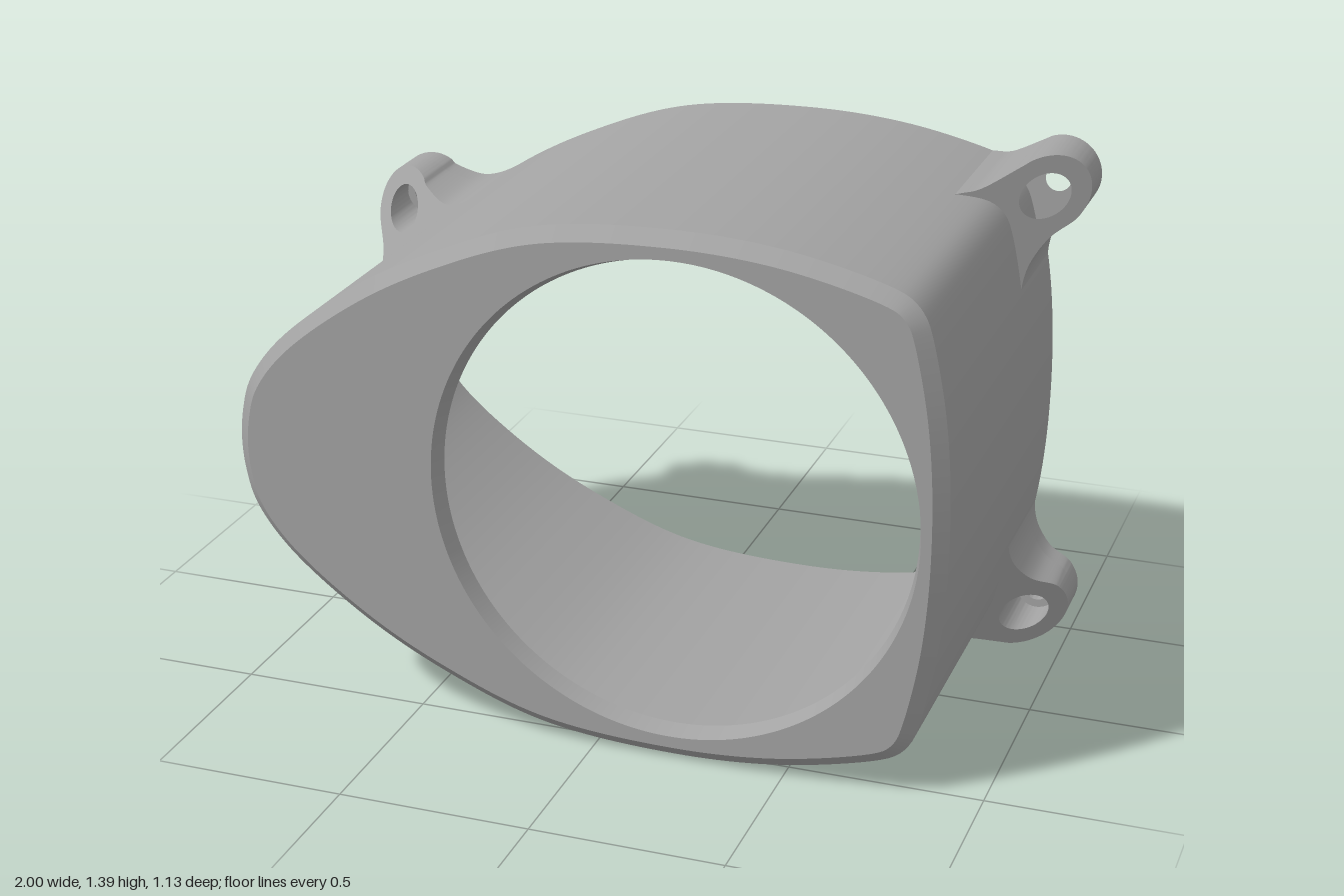
import * as THREE from 'three';
import { toCreasedNormals } from 'three/addons/utils/BufferGeometryUtils.js';

const YC = 0.698;            // height of the symmetry plane
const BACK = -0.565, FRONT = 0.565;
const CREASE = 0.6;
const v2 = (p) => new THREE.Vector2(p[0], p[1]);

// Upper half of the housing outline, y measured from the symmetry plane
const HALF = [
  [0.896, 0], [0.89, 0.18], [0.872, 0.34], [0.836, 0.51], [0.82, 0.553], [0.79, 0.59],
  [0.745, 0.614], [0.49, 0.676], [0.2, 0.696], [-0.15, 0.666], [-0.42, 0.569],
  [-0.64, 0.45], [-0.85, 0.285], [-0.935, 0.17], [-0.96, 0.085], [-0.968, 0],
];

function buildBody() {
  const mirrored = HALF.slice(1, -1).reverse().map(([x, y]) => [x, -y]);
  const curve = new THREE.CatmullRomCurve3(
    [...HALF, ...mirrored].map(([x, y]) => new THREE.Vector3(x, YC + y, 0)), true, 'centripetal');
  curve.arcLengthDivisions = 1000;
  const n = 320;
  const pts = [], tangents = [];
  for (let i = 0; i < n; i++) {
    pts.push(curve.getPointAt(i / n));
    tangents.push(curve.getTangentAt(i / n));
  }
  const inset = (d, z) => pts.map((p, i) => [p.x - tangents[i].y * d, p.y + tangents[i].x * d, z]);
  const circle = (r, z) => pts.map((p) => {
    const a = Math.atan2(p.y - YC, p.x - 0.205);
    return [0.205 + r * Math.cos(a), YC + r * Math.sin(a), z];
  });

  // Closed section: outer wall, chamfer, front face, tapered opening, inner face, inner wall, rim
  const rings = [
    inset(0, BACK), inset(0, 0.53), inset(0.035, FRONT),
    circle(0.63, FRONT), circle(0.615, 0.515),
    inset(0.04, 0.515), inset(0.04, BACK),
  ];
  const index = [];
  for (let j = 0; j < rings.length; j++) {
    const k = (j + 1) % rings.length;
    for (let i = 0; i < n; i++) {
      const m = (i + 1) % n;
      index.push(j * n + i, j * n + m, k * n + m, j * n + i, k * n + m, k * n + i);
    }
  }
  const geo = new THREE.BufferGeometry();
  geo.setAttribute('position', new THREE.Float32BufferAttribute(rings.flat(2), 3));
  geo.setIndex(index);
  return toCreasedNormals(geo, CREASE);
}

// Mounting ears: fillet, rounded end, fillet, then an edge buried in the wall.
// slope: 45 degree face through a point, falling along (nx, ny)
const EARS = {
  left: {
    center: [0.9, 1.287], arc: [125, -48],
    before: [[0.69, 1.325], [0.72, 1.325], [0.765, 1.33]],
    after: [[0.918, 1.18], [0.882, 1.125], [0.869, 1.07], [0.871, 1.02]],
    inner: [[0.853, 1.03], [0.835, 1.13], [0.817, 1.21], [0.803, 1.238], [0.777, 1.272], [0.74, 1.293]],
    slope: { at: [1, 1.29, -0.44], n: [0.965, 0.25] },
  },
  right: {
    center: [-0.9, 1.055], arc: [45, 215],
    before: [[-0.635, 1.15], [-0.695, 1.119], [-0.755, 1.107]],
    after: [[-0.95, 0.95], [-0.938, 0.905], [-0.941, 0.85], [-0.953, 0.8]],
    inner: [[-0.935, 0.81], [-0.918, 0.865], [-0.835, 0.972], [-0.738, 1.057], [-0.625, 1.133]],
    slope: { at: [-0.97, 1.125, -0.45], n: [-0.71, 0.71] },
  },
};

function earShape(ear, side, holeRadius) {
  const flip = ([x, y]) => [x, YC + side * (y - YC)];
  const arc = [];
  for (let i = 0; i <= 12; i++) {
    const a = THREE.MathUtils.degToRad(THREE.MathUtils.lerp(ear.arc[0], ear.arc[1], i / 12));
    arc.push([ear.center[0] + 0.1 * Math.cos(a), ear.center[1] + 0.1 * Math.sin(a)]);
  }
  const edge = new THREE.SplineCurve([...ear.before, ...arc, ...ear.after].map((p) => v2(flip(p))));
  const shape = new THREE.Shape([...edge.getPoints(90), ...ear.inner.map((p) => v2(flip(p)))]);
  const c = flip(ear.center);
  shape.holes.push(new THREE.Path().absarc(c[0], c[1], holeRadius, 0, Math.PI * 2, true));
  return shape;
}

// Extrude from z0 up to a height given by a rule
function extrudeTo(shape, z0, heightAt) {
  const geo = new THREE.ExtrudeGeometry(shape, { depth: 1, bevelEnabled: false, curveSegments: 32 });
  const p = geo.attributes.position;
  for (let i = 0; i < p.count; i++) {
    p.setZ(i, p.getZ(i) > 0.5 ? heightAt(p.getX(i), p.getY(i)) : z0);
  }
  return toCreasedNormals(geo, CREASE);
}

function buildEar(ear, side, material) {
  const group = new THREE.Group();
  const floor = -0.5;
  const { at, n } = ear.slope;
  const slope = (x, y) => at[2] - n[0] * (x - at[0]) - n[1] * (YC + side * (y - YC) - at[1]);
  // Thin base with the screw hole, then the sloped part with the wider counterbore
  const base = new THREE.Mesh(extrudeTo(earShape(ear, side, 0.034), BACK, () => floor), material);
  base.name = 'screwSeat';
  const wedge = new THREE.Mesh(extrudeTo(earShape(ear, side, 0.056), floor, slope), material);
  wedge.name = 'slopedBoss';
  group.add(base, wedge);
  return group;
}

export function createModel() {
  const model = new THREE.Group();
  model.name = 'housing';
  const grey = new THREE.MeshStandardMaterial({ color: 0xa3a3a3 });
  grey.name = 'plain grey';

  const body = new THREE.Mesh(buildBody(), grey);
  body.name = 'shell';
  model.add(body);

  for (const [name, ear] of Object.entries(EARS)) {
    for (const side of [1, -1]) {
      const group = buildEar(ear, side, grey);
      group.name = `${name}${side > 0 ? 'Upper' : 'Lower'}MountingEar`;
      model.add(group);
    }
  }
  return model;
}
